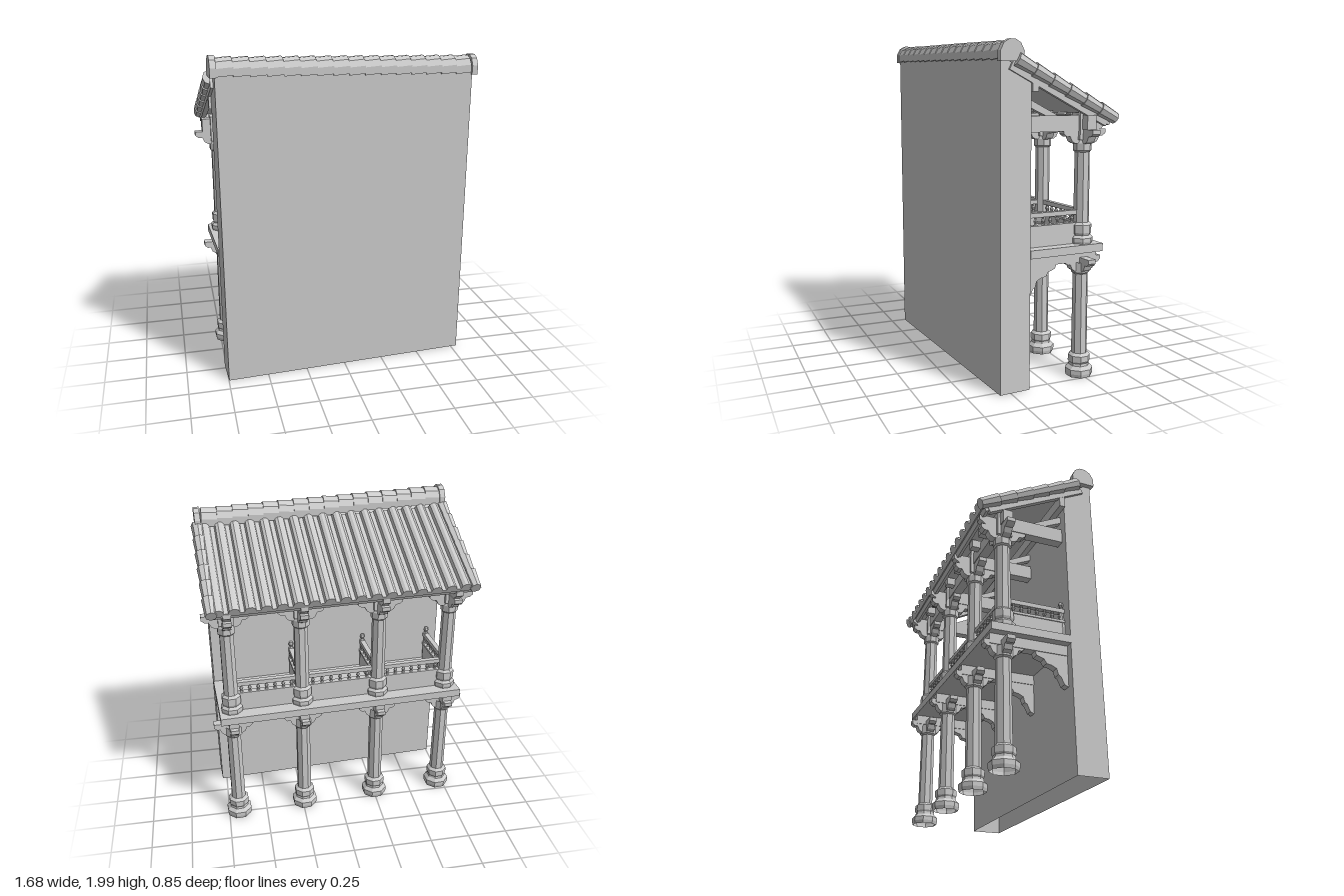
import * as THREE from 'three';

const stone = new THREE.MeshStandardMaterial({ color: 0xcccccc, flatShading: true, side: THREE.DoubleSide });
stone.name = 'paleGrey';

const COLUMNS = [-0.695, -0.24, 0.25, 0.695];
const COL_Z = -0.205, WALL_BACK = 0.174, WALL_FRONT = 0.361, TILT = 0.024;

function add(parent, name, geometry, x = 0, y = 0, z = 0) {
  const mesh = new THREE.Mesh(geometry, stone);
  mesh.name = name;
  mesh.position.set(x, y, z);
  parent.add(mesh);
  return mesh;
}

// Box given by its limits on each axis
function block(parent, name, x0, x1, y0, y1, z0, z1) {
  return add(parent, name, new THREE.BoxGeometry(x1 - x0, y1 - y0, z1 - z0),
    (x0 + x1) / 2, (y0 + y1) / 2, (z0 + z1) / 2);
}

function lathe(points, sides) {
  const g = new THREE.LatheGeometry(points.map(p => new THREE.Vector2(...p)), sides);
  return g.rotateY(Math.PI / sides);
}

// Profile extruded and centred on its thickness
function slab(points, depth) {
  const shape = new THREE.Shape(points.map(p => new THREE.Vector2(...p)));
  return new THREE.ExtrudeGeometry(shape, { depth, bevelEnabled: false }).translate(0, 0, -depth / 2);
}

// Hollow wall whose top follows the roof pitch and the ridge tilt
function buildWall(parent) {
  const g = new THREE.BoxGeometry(1.54, 1, WALL_FRONT - WALL_BACK);
  const p = g.attributes.position;
  for (let i = 0; i < p.count; i++) {
    const top = p.getZ(i) > 0 ? 1.87 : 1.79;
    p.setY(i, p.getY(i) > 0 ? top - TILT * p.getX(i) : 0);
  }
  // leave the underside open
  g.setIndex(Array.from(g.index.array).filter((_, i) => i < 18 || i >= 24));
  add(parent, 'wall', g, 0, 0, (WALL_FRONT + WALL_BACK) / 2);
}

// Lower and upper octagonal columns with moulded bases and collars
function buildColumn(parent, x) {
  const lower = [[0.078, 0], [0.083, 0.02], [0.083, 0.045], [0.062, 0.065], [0.06, 0.08], [0.066, 0.09],
    [0.066, 0.125], [0.047, 0.14], [0.045, 0.62], [0.055, 0.63], [0.055, 0.69]];
  const upper = [[0.066, 0.8], [0.07, 0.815], [0.07, 0.835], [0.055, 0.85], [0.061, 0.865], [0.061, 0.91],
    [0.046, 0.925], [0.044, 1.33], [0.054, 1.34], [0.054, 1.38], [0.044, 1.4], [0.044, 1.46]];
  add(parent, 'lowerColumn', lathe(lower, 8), x, 0, COL_Z);
  add(parent, 'upperColumn', lathe(upper, 8), x, 0, COL_Z);
}

// Stepped bracket arms spreading from a column head
function buildCapital(parent, x, top, reach) {
  const h = 0.08;
  const arm = [[0, 0], [reach, 0], [reach, -h * 0.3], [reach * 0.85, -h * 0.5], [reach * 0.7, -h * 0.5],
    [reach * 0.6, -h * 0.85], [reach * 0.45, -h], [0, -h]];
  for (let k = 0; k < 4; k++) {
    const mesh = add(parent, 'capitalBracket', slab(arm, 0.05), x, top, COL_Z);
    mesh.rotation.y = k * Math.PI / 2;
  }
}

// Parapet panel, turned balusters and handrail along a straight run
function buildRailing(parent, x0, z0, x1, z1, count) {
  const run = new THREE.Group();
  run.name = 'railing';
  const length = Math.hypot(x1 - x0, z1 - z0);
  run.position.set(x0, 0, z0);
  run.rotation.y = -Math.atan2(z1 - z0, x1 - x0);
  parent.add(run);
  block(run, 'parapetPanel', 0, length, 0.8, 0.915, -0.012, 0.012);
  block(run, 'bottomRail', 0, length, 0.91, 0.925, -0.018, 0.018);
  block(run, 'handrail', 0, length, 0.972, 0.998, -0.016, 0.016);
  const turned = [[0.011, 0.925], [0.006, 0.935], [0.013, 0.95], [0.006, 0.963], [0.01, 0.972]];
  for (let i = 0; i < count; i++) {
    add(run, 'baluster', lathe(turned, 6), (i + 0.5) * length / count, 0, 0);
  }
}

function buildVeranda(parent) {
  block(parent, 'deck', -0.775, 0.775, 0.755, 0.802, -0.305, WALL_BACK);
  block(parent, 'topBeam', -0.79, 0.79, 1.46, 1.54, COL_Z - 0.03, COL_Z + 0.03);
  const corbel = [[0, 0.7], [0, 0.51], [0.025, 0.52], [0.045, 0.565], [0.06, 0.575], [0.07, 0.61], [0.1, 0.625],
    [0.13, 0.63], [0.145, 0.655], [0.19, 0.67], [0.2, 0.7]];
  const finial = [[0.015, 0.8], [0.015, 1.0], [0.008, 1.01], [0.017, 1.025], [0.012, 1.042], [0, 1.048]];
  COLUMNS.forEach((x, i) => {
    buildColumn(parent, x);
    buildCapital(parent, x, 0.72, 0.12);
    buildCapital(parent, x, 1.46, 0.14);
    block(parent, 'columnHead', x - 0.045, x + 0.045, 1.4, 1.555, COL_Z - 0.045, COL_Z + 0.045);
    block(parent, 'deckBeam', x - 0.03, x + 0.03, 0.695, 0.757, -0.295, WALL_BACK);
    block(parent, 'tieBeam', x - 0.03, x + 0.03, 1.45, 1.54, COL_Z, WALL_BACK);
    add(parent, 'wallCorbel', slab(corbel, 0.05), x, 0, WALL_BACK).rotation.y = Math.PI / 2;
    // side railing back to the wall
    buildRailing(parent, x, COL_Z + 0.04, x, WALL_BACK, 7);
    add(parent, 'railPost', lathe(finial, 6), x, 0, WALL_BACK - 0.015);
    if (i) buildRailing(parent, COLUMNS[i - 1] + 0.04, COL_Z, x - 0.04, COL_Z, 7);
    // outrigger carrying the eave, and a strut from the wall
    const outrigger = [[0, 0], [0.15, 0], [0.15, -0.03], [0.12, -0.05], [0.1, -0.08], [0, -0.08]];
    add(parent, 'eaveOutrigger', slab(outrigger, 0.045), x, 1.52, COL_Z).rotation.y = Math.PI / 2;
    const strut = [[0, 1.64], [0.2, 1.54], [0.12, 1.54], [0, 1.595]];
    add(parent, 'roofStrut', slab(strut, 0.04), x, 0, WALL_BACK).rotation.y = Math.PI / 2;
  });
  for (let i = 0; i < COLUMNS.length; i++) {
    const x = COLUMNS[i];
    for (const side of [-1, 1]) {
      if (Math.abs(x + side * 0.2) > 0.8) continue;
      block(parent, 'eaveBlock', x + side * 0.15 - 0.025, x + side * 0.15 + 0.025, 1.5, 1.55, -0.29, COL_Z);
    }
  }
}

// Ribbed tile slope hinged below the ridge
function buildRoof(parent) {
  const roof = new THREE.Group();
  roof.name = 'roofSlope';
  roof.position.set(0, 1.878, 0.246);
  roof.rotation.set(-0.464, 0, -0.016);
  parent.add(roof);
  const length = 0.7, ribs = 17, pitch = 1.56 / ribs;
  const profile = [[-0.78, -0.055]];
  for (let i = 0; i < ribs; i++) {
    const x = -0.78 + i * pitch;
    profile.push([x, -0.032], [x + pitch * 0.25, -0.032], [x + pitch * 0.33, -0.01], [x + pitch * 0.5, 0],
      [x + pitch * 0.72, 0], [x + pitch * 0.9, -0.01], [x + pitch * 0.98, -0.032]);
  }
  profile.push([0.78, -0.032], [0.78, -0.055]);
  add(roof, 'ribbedTiles', slab(profile, length), 0, 0, -length / 2);
  // stepped tiles down both verges
  for (const side of [-1, 1]) {
    for (let i = 0; i < 6; i++) {
      const tile = add(roof, 'vergeTile', new THREE.CylinderGeometry(0.034, 0.042, 0.125, 8),
        side * 0.782, -0.032, -0.055 - i * 0.118);
      tile.rotation.x = -Math.PI / 2;
    }
    block(roof, 'vergeBoard', side * 0.77 - 0.015, side * 0.77 + 0.015, -0.1, -0.045, -0.67, 0.02);
  }
  block(roof, 'eaveBoard', -0.78, 0.78, -0.085, -0.05, -0.69, -0.665);
  block(parent, 'wallPurlin', -0.785, 0.785, 1.67, 1.74, WALL_BACK - 0.035, WALL_BACK);
}

// Overlapping ridge tiles with a block at each end
function buildRidge(parent) {
  const ridge = new THREE.Group();
  ridge.name = 'ridge';
  ridge.position.set(0, 1.86, 0.305);
  ridge.rotation.z = -TILT - 0.004;
  parent.add(ridge);
  const profile = [[-0.065, 0], [0.065, 0], [0.065, 0.045], [0.045, 0.08], [0.015, 0.096], [-0.015, 0.096],
    [-0.045, 0.08], [-0.065, 0.045]];
  const count = 16, step = 1.52 / count;
  for (let i = 0; i < count; i++) {
    const tile = add(ridge, 'ridgeTile', slab(profile, step * 1.05), -0.76 + (i + 0.5) * step, 0, 0);
    tile.rotation.set(0, Math.PI / 2, 0.0);
    tile.rotateX(-0.1);
  }
  for (const side of [-1, 1]) {
    const cap = add(ridge, 'ridgeEnd', slab(profile, 0.035), side * 0.78, -0.01, 0);
    cap.rotation.y = Math.PI / 2;
    cap.scale.set(1.1, 1.2, 1);
  }
}

export function createModel() {
  const model = new THREE.Group();
  model.name = 'verandaWall';
  const body = new THREE.Group();
  body.name = 'body';
  body.rotation.y = 0.057;
  model.add(body);
  buildWall(body);
  buildVeranda(body);
  buildRoof(body);
  buildRidge(body);
  return model;
}
